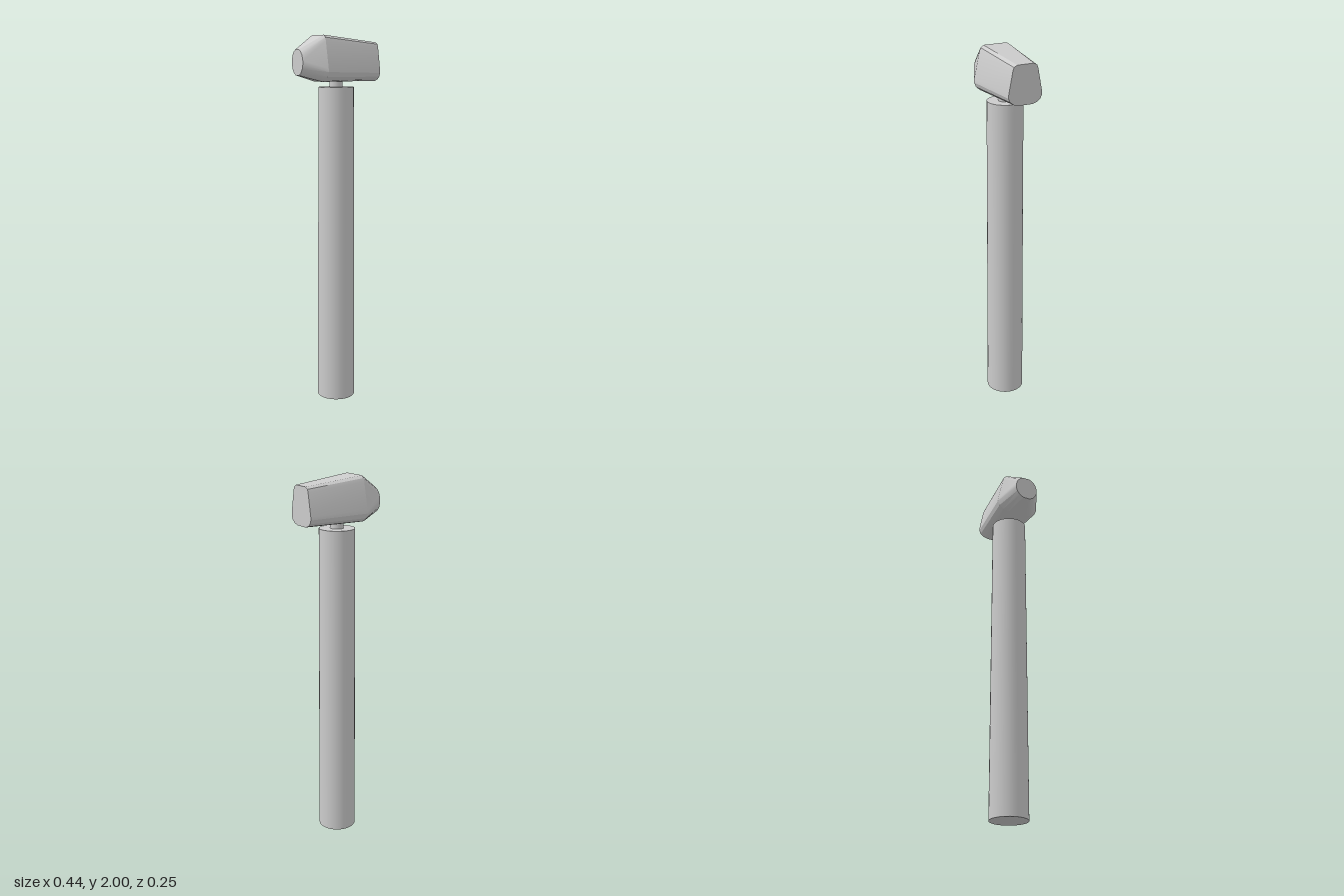
import * as THREE from 'three';
import { toCreasedNormals } from 'three/addons/utils/BufferGeometryUtils.js';

// Half outlines [z, y] from the underside up to the crown
const bodyHalf = [[0.055, 1.76], [0.088, 1.768], [0.112, 1.787], [0.123, 1.812], [0.122, 1.83],
  [0.09, 1.97], [0.084, 1.988], [0.068, 2.0]];
const faceHalf = [[0.04, 1.76], [0.066, 1.768], [0.085, 1.783], [0.094, 1.803], [0.093, 1.82],
  [0.07, 1.938], [0.064, 1.953], [0.046, 1.963]];
// Round striking tip, its points spread to match the outlines
const tipHalf = [18, 40, 62, 82, 98, 122, 142, 162].map((deg) => {
  const a = THREE.MathUtils.degToRad(deg);
  return [0.066 * Math.sin(a), 1.86 - 0.07 * Math.cos(a)];
});

const mirrorHalf = (half) => [...half, ...half.map(([z, y]) => [-z, y]).reverse()];

// Skin a closed solid over cross-sections placed along x
function loft(sections) {
  const positions = [], index = [];
  const n = sections[0].ring.length;
  for (const { x, ring } of sections) for (const [z, y] of ring) positions.push(x, y, z);
  for (let i = 0; i < sections.length - 1; i++) {
    for (let k = 0; k < n; k++) {
      const a = i * n + k, b = i * n + (k + 1) % n;
      index.push(a, a + n, b + n, a, b + n, b);
    }
  }
  const last = (sections.length - 1) * n;
  for (let k = 1; k < n - 1; k++) {
    index.push(0, k, k + 1, last, last + k + 1, last + k);
  }
  const geometry = new THREE.BufferGeometry();
  geometry.setAttribute('position', new THREE.Float32BufferAttribute(positions, 3));
  geometry.setIndex(index);
  return toCreasedNormals(geometry, 0.42);
}

export function createModel() {
  const model = new THREE.Group();
  model.name = 'hammer';
  const material = new THREE.MeshStandardMaterial({ color: 0xcccccc });

  function add(name, geometry, x = 0, y = 0) {
    const mesh = new THREE.Mesh(geometry, material);
    mesh.name = name;
    mesh.position.set(x, y, 0);
    model.add(mesh);
  }

  // Slightly tapered grip
  add('handle', new THREE.CylinderGeometry(0.095, 0.103, 1.73, 32), 0.006, 0.865);

  // Thin tenon joining the grip to the head
  add('neck', new THREE.CylinderGeometry(0.035, 0.035, 0.12, 24), 0.006, 1.77);

  // Head: round tip, widest body section, tapered flat face
  add('head', loft([
    { x: -0.222, ring: mirrorHalf(tipHalf) },
    { x: -0.102, ring: mirrorHalf(bodyHalf) },
    { x: 0.222, ring: mirrorHalf(faceHalf) },
  ]));

  return model;
}
